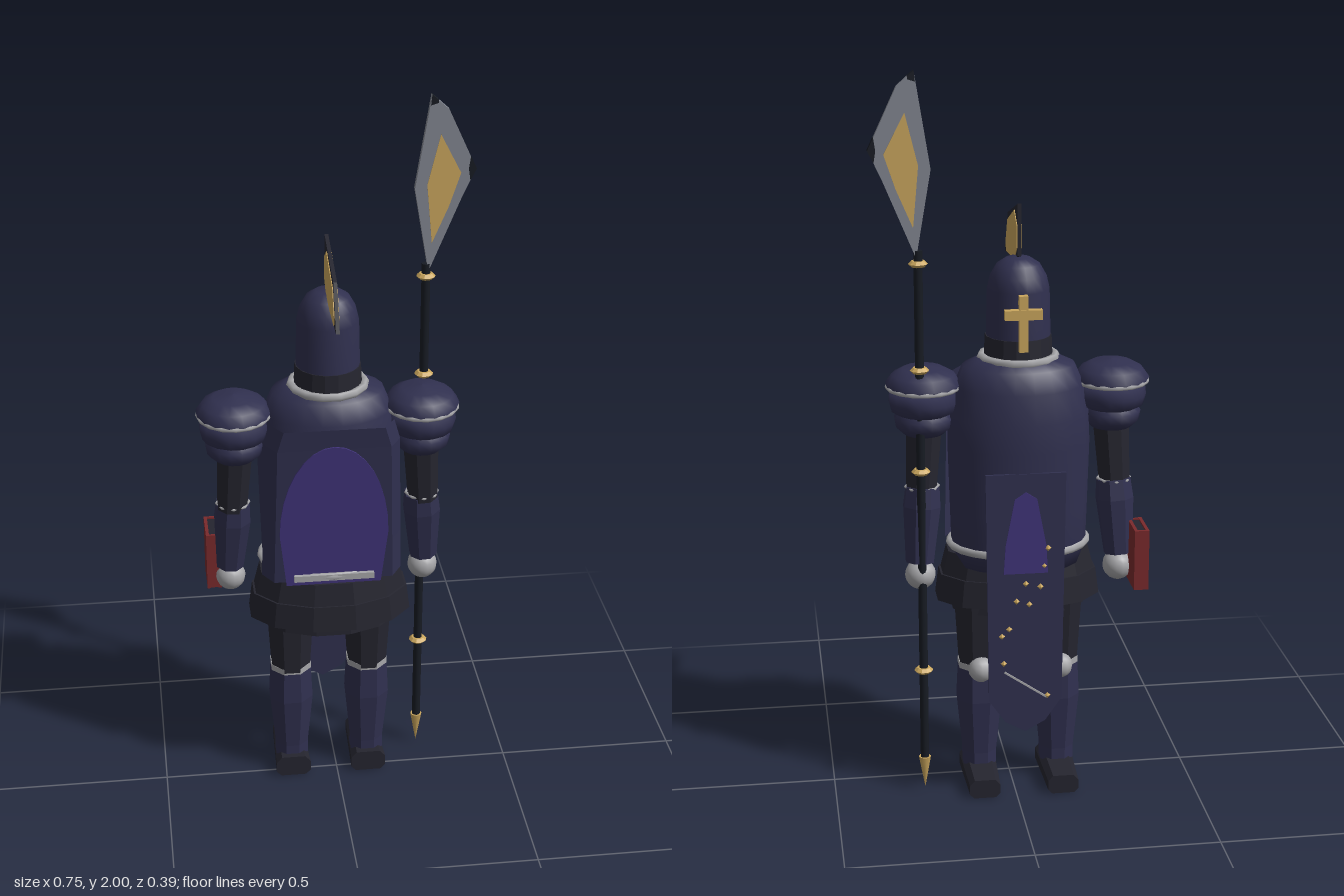
import * as THREE from 'three';

const paint = (name, color) => {
  const m = new THREE.MeshStandardMaterial({ color });
  m.name = name;
  return m;
};

export function createModel() {
  const navy = paint('navy armour', 0x30304f);
  const dark = paint('dark armour', 0x25252f);
  const purple = paint('purple cloth', 0x41347a);
  const silver = paint('silver trim', 0xa6a6a9);
  const gold = paint('gold', 0xcba75e);
  const red = paint('red leather', 0x7a2a2c);
  const steel = paint('blade steel', 0x838791);
  const black = paint('black wood', 0x171b23);
  const root = new THREE.Group();
  const CX = -0.02; // body centre line

  const flat = (g) => {
    const f = g.index ? g.toNonIndexed() : g;
    f.computeVertexNormals();
    return f;
  };
  const add = (name, geo, mat, x = 0, y = 0, z = 0, parent = root) => {
    const m = new THREE.Mesh(geo, mat);
    m.name = name;
    m.position.set(x, y, z);
    parent.add(m);
    return m;
  };
  // Turned part; profile is [radius, y] from bottom to top, squashed in depth
  const turned = (pts, n, depth = 1, faceted = true) => {
    const g = new THREE.LatheGeometry(pts.map((p) => new THREE.Vector2(p[0], p[1])), n);
    g.rotateY(Math.PI / n);
    g.scale(1, 1, depth);
    return faceted ? flat(g) : g;
  };
  // Flat plate from an outline, centred on z = 0
  const plate = (pts, t) => {
    const s = new THREE.Shape(pts.map((p) => new THREE.Vector2(p[0], p[1])));
    const g = new THREE.ExtrudeGeometry(s, { depth: t, bevelEnabled: false });
    return g.translate(0, 0, -t / 2);
  };
  const ring = (r, tube, depth = 1, n = 24) => {
    const g = new THREE.TorusGeometry(r, tube, 6, n).rotateX(Math.PI / 2);
    return g.scale(1, 1, depth);
  };

  // Torso
  add('torso', turned([[0, 0.66], [0.17, 0.66], [0.185, 0.72], [0.188, 0.82], [0.193, 1.0],
    [0.19, 1.08], [0.175, 1.16], [0.152, 1.215], [0.1, 1.24], [0, 1.245]], 20, 0.74, false), navy, CX, 0, -0.04);
  add('belt', ring(0.187, 0.012, 0.76), silver, CX, 0.715, -0.032);
  add('collar', ring(0.1, 0.012, 0.95, 14), silver, CX, 1.235, -0.032);

  // Overlapping skirt plates
  const skirt = [[0.52, 0.6, 0.188, 0.18], [0.55, 0.625, 0.232, 0.222], [0.61, 0.69, 0.22, 0.2]];
  skirt.forEach(([y0, y1, r0, r1], i) =>
    add('skirtPlate' + (i + 1), turned([[0, y0], [r0, y0], [r1, y1], [0, y1 + 0.01]], 12, 0.62), dark, CX, 0, -0.01));

  // Cape: bent sheet leaning outwards at the top, with a purple panel
  const sheet = (rows) => {
    const pos = [], idx = [], n = rows[0].length;
    rows.forEach((r) => r.forEach((p) => pos.push(...p)));
    for (let j = 0; j < rows.length - 1; j++) for (let i = 0; i < n - 1; i++) {
      const a = j * n + i;
      idx.push(a, a + 1, a + n + 1, a, a + n + 1, a + n);
    }
    const g = new THREE.BufferGeometry();
    g.setAttribute('position', new THREE.Float32BufferAttribute(pos, 3));
    g.setIndex(idx);
    return flat(g);
  };
  const capeMat = navy.clone();
  capeMat.side = THREE.DoubleSide;
  const capeRow = (y, w, z) => [[-w, y, z - 0.05], [-w + 0.03, y, z], [w - 0.03, y, z], [w, y, z - 0.05]];
  add('cape', sheet([capeRow(0.7, 0.193, 0.1), capeRow(0.82, 0.19, 0.105), capeRow(1.11, 0.182, 0.122),
    capeRow(1.17, 0.165, 0.127)]), capeMat, CX);
  const panelPts = [[-0.13, 0.69], [0.13, 0.69]];
  for (let i = 0; i <= 16; i++) {
    const a = (i / 16) * Math.PI;
    panelPts.push([0.148 * Math.cos(a), 0.85 + 0.27 * Math.sin(a)]);
  }
  const panel = plate(panelPts, 0.006);
  const pp = panel.attributes.position;
  for (let i = 0; i < pp.count; i++) pp.setZ(i, pp.getZ(i) + 0.108 + 0.055 * (pp.getY(i) - 0.82));
  add('capePanel', flat(panel), purple, CX);
  add('capeClasp', new THREE.BoxGeometry(0.22, 0.018, 0.016), silver, CX, 0.715, 0.108);

  // Helmet with crest and cross
  add('helmet', turned([[0.088, 1.23], [0.086, 1.3], [0.083, 1.42], [0.075, 1.455], [0.058, 1.485],
    [0.032, 1.502], [0, 1.507]], 20, 1.03, false), navy, CX, 0, -0.032);
  add('neckGuard', turned([[0.092, 1.235], [0.089, 1.295], [0.08, 1.295]], 16, 1.03), dark, CX, 0, -0.032);
  const crest = [[0.193, 1.473], [0.06, 1.484], [-0.02, 1.495], [-0.055, 1.51], [-0.055, 1.648], [0.135, 1.59]];
  const crestGold = [[0.155, 1.48], [0.06, 1.487], [-0.015, 1.502], [-0.05, 1.53], [-0.05, 1.59],
    [0.0, 1.622], [0.13, 1.572], [0.165, 1.505]];
  add('crest', plate(crest, 0.01).rotateY(-Math.PI / 2), dark, CX);
  add('crestInlay', plate(crestGold, 0.014).rotateY(-Math.PI / 2), gold, CX);
  add('crossUpright', new THREE.BoxGeometry(0.024, 0.15, 0.022), gold, CX, 1.345, -0.128);
  add('crossBar', new THREE.BoxGeometry(0.1, 0.026, 0.022), gold, CX, 1.37, -0.13);

  // Hanging tabard with purple patch and small studs
  add('tabard', plate([[-0.1, 0.3], [-0.055, 0.235], [0, 0.205], [0.055, 0.235], [0.1, 0.3], [0.108, 0.95],
    [-0.108, 0.95]], 0.008), navy, CX, 0, -0.179);
  add('tabardPatch', plate([[-0.06, 0.67], [0.06, 0.67], [0.055, 0.75], [0.03, 0.88], [0, 0.9], [-0.03, 0.88],
    [-0.055, 0.75]], 0.004), purple, CX, 0, -0.184);
  const studs = [[-0.06, 0.74], [0, 0.64], [-0.04, 0.63], [0.025, 0.59], [-0.01, 0.58], [0.045, 0.51],
    [0.065, 0.49], [0.06, 0.41], [-0.06, 0.31], [-0.05, 0.69]];
  studs.forEach(([x, y]) => add('tabardStud', flat(new THREE.OctahedronGeometry(0.009)), gold, CX + x, y, -0.184));
  add('tabardCord', new THREE.BoxGeometry(0.14, 0.005, 0.006), silver, CX, 0.345, -0.184).rotation.z = 0.6;

  // Arms and legs, one of each per side
  for (const s of [-1, 1]) {
    const side = s > 0 ? 'left' : 'right';
    const arm = new THREE.Group();
    arm.name = side + 'Arm';
    arm.position.set(CX + s * 0.255, 0, -0.028);
    root.add(arm);
    add('pauldronDome', turned([[0.096, 1.155], [0.102, 1.168], [0.085, 1.192], [0.055, 1.209], [0, 1.217]],
      16, 1.06, false), navy, 0, 0, 0, arm);
    add('pauldronTrim', ring(0.096, 0.007, 1.06, 16), silver, 0, 1.16, 0, arm);
    add('pauldronUpperLame', turned([[0.07, 1.085], [0.088, 1.095], [0.094, 1.12], [0.09, 1.155], [0, 1.16]],
      16, 1.06, false), navy, 0, 0, 0, arm);
    add('pauldronLowerLame', turned([[0, 1.03], [0.055, 1.03], [0.076, 1.05], [0.08, 1.075], [0.065, 1.095]],
      16, 1.06, false), navy, 0, 0, 0, arm);
    const upper = add('upperArm', turned([[0, -0.09], [0.043, -0.09], [0.05, 0.09], [0, 0.09]], 8, 1.05),
      dark, s * 0.005, 0.96, -0.005, arm);
    upper.rotation.set(0.06, 0, s * 0.06);
    const fore = add('forearm', turned([[0, -0.105], [0.04, -0.105], [0.053, 0.05], [0.048, 0.105], [0, 0.105]], 8),
      navy, s * 0.013, 0.778, -0.025, arm);
    fore.rotation.set(0.1, 0, s * 0.06);
    add('elbowTrim', ring(0.045, 0.004, 1, 8), silver, s * 0.008, 0.882, -0.013, arm);
    add('hand', new THREE.SphereGeometry(0.042, 14, 10), silver, s * 0.018, 0.638, -0.037, arm);

    const leg = new THREE.Group();
    leg.name = side + 'Leg';
    leg.position.set(CX + s * 0.11, 0, -0.03);
    root.add(leg);
    add('thigh', turned([[0, 0.35], [0.058, 0.35], [0.071, 0.56], [0, 0.56]], 8, 1.05), dark, 0, 0, 0, leg);
    add('kneeBand', turned([[0, 0.346], [0.061, 0.346], [0.061, 0.364], [0, 0.364]], 8), silver, 0, 0, 0, leg);
    add('kneeCap', new THREE.SphereGeometry(0.036, 12, 8), silver, 0, 0.355, -0.058, leg);
    add('shin', turned([[0, 0.05], [0.05, 0.05], [0.05, 0.09], [0.066, 0.25], [0.061, 0.346], [0, 0.346]], 8, 0.95),
      navy, 0, 0, 0, leg);
    // Boot: chamfered sole outline raised in height
    const boot = plate([[-0.05, 0.014], [-0.036, 0], [0.036, 0], [0.05, 0.014], [0.05, 0.045], [0.034, 0.063],
      [-0.034, 0.063], [-0.05, 0.045]], 0.2);
    const bp = boot.attributes.position;
    for (let i = 0; i < bp.count; i++) if (bp.getZ(i) < 0) bp.setXYZ(i, bp.getX(i) * 0.85, bp.getY(i) * 0.85, bp.getZ(i));
    add('boot', flat(boot), dark, 0, 0, -0.038, leg);
  }

  // Book held at the right side
  const book = new THREE.Group();
  book.name = 'book';
  book.position.set(-0.339, 0.685, -0.115);
  root.add(book);
  add('bookBlock', new THREE.BoxGeometry(0.026, 0.16, 0.104), dark, 0, 0, 0, book);
  for (const s of [-1, 1]) add('bookCover', new THREE.BoxGeometry(0.009, 0.17, 0.112), red, s * 0.0155, 0, 0, book);
  add('bookSpine', new THREE.BoxGeometry(0.04, 0.17, 0.008), red, 0, 0, -0.052, book);
  add('bookBack', new THREE.BoxGeometry(0.038, 0.168, 0.008), red, 0, 0, 0.05, book);

  // Spear
  const spear = new THREE.Group();
  spear.name = 'spear';
  spear.position.set(0.25, 0, -0.092);
  root.add(spear);
  add('shaft', new THREE.CylinderGeometry(0.012, 0.012, 1.45, 10), black, 0, 0.815, 0, spear);
  add('buttSpike', new THREE.ConeGeometry(0.017, 0.095, 8).rotateX(Math.PI), gold, 0, 0.055, 0, spear);
  for (const y of [0.365, 0.94, 1.22, 1.505])
    add('shaftRing', turned([[0, -0.008], [0.018, -0.008], [0.026, 0], [0.018, 0.008], [0, 0.008]], 10), gold, 0, y, 0, spear);
  add('blade', plate([[0.005, 1.52], [0.092, 1.73], [0.125, 1.8], [0.05, 1.96], [0.005, 2.0], [-0.035, 1.75]], 0.016),
    steel, 0, 0, 0, spear);
  add('bladeInlay', plate([[0.012, 1.6], [0.055, 1.7], [0.085, 1.79], [0.03, 1.895], [-0.003, 1.76]], 0.02),
    gold, 0, 0, 0, spear);
  add('bladeSideTip', plate([[0.105, 1.8], [0.11, 1.768], [0.126, 1.8], [0.11, 1.834]], 0.019), black, 0, 0, 0, spear);
  add('bladeTopTip', plate([[0.002, 1.972], [0.022, 1.978], [0.022, 1.986], [0.005, 2.0]], 0.019), black, 0, 0, 0, spear);

  return root;
}
